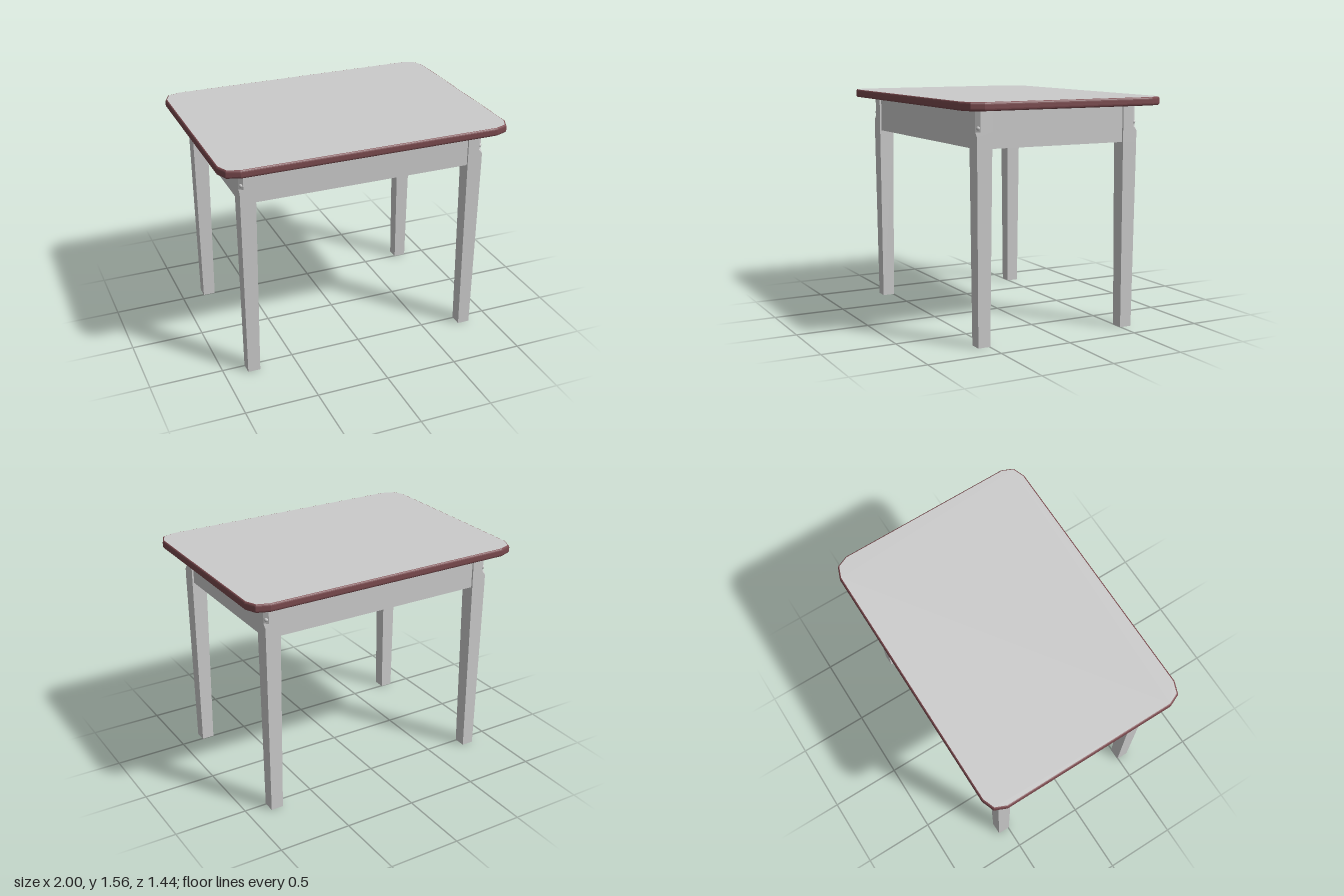
import * as THREE from 'three';

const grey = new THREE.MeshStandardMaterial({ color: 0xcccccc, flatShading: true });
const smoothGrey = new THREE.MeshStandardMaterial({ color: 0xcccccc });
const edgeRed = new THREE.MeshStandardMaterial({ color: 0x7a4a4e });

const TOP = 1.56, UNDER = 1.505, APRON_LOW = 1.26;
const LEG_X = 0.8, LEG_Z = 0.538, LEG_HALF = 0.0525, CUT = 0.025;

function addMesh(parent, name, geometry, material) {
  const mesh = new THREE.Mesh(geometry, material);
  mesh.name = name;
  parent.add(mesh);
  return mesh;
}

// Slab with clipped corners and a rounded coloured rim
function tabletopGeometry() {
  const corner = [[1, 0.61], [0.965, 0.69], [0.88, 0.722]];
  const points = [];
  for (const [sx, sy] of [[1, 1], [-1, 1], [-1, -1], [1, -1]]) {
    const run = sx * sy > 0 ? corner : [...corner].reverse();
    for (const [x, y] of run) points.push(new THREE.Vector2(x * sx, y * sy));
  }
  const round = 0.017, inset = 0.011;
  const geometry = new THREE.ExtrudeGeometry(new THREE.Shape(points), {
    depth: TOP - UNDER - 2 * round,
    bevelThickness: round, bevelSize: inset, bevelOffset: -inset, bevelSegments: 4,
  });
  geometry.rotateX(-Math.PI / 2);
  return geometry.translate(0, UNDER + round, 0);
}

// Tapered leg whose outer corner (+x, +z) is cut flat near the top
function legGeometry() {
  const sections = [ // height, half width, corner cut
    [0, 0.0425, 0], [APRON_LOW, LEG_HALF, 0], [1.335, LEG_HALF, 0],
    [1.365, LEG_HALF, CUT], [UNDER, LEG_HALF, CUT],
  ];
  const positions = [], index = [], n = 5;
  for (const [y, h, c] of sections) {
    for (const [x, z] of [[h, -h], [h, h - c], [h - c, h], [-h, h], [-h, -h]]) positions.push(x, y, z);
  }
  for (let s = 0; s < sections.length - 1; s++) {
    for (let i = 0; i < n; i++) {
      const a = s * n + i, b = s * n + (i + 1) % n;
      index.push(a, a + n, b, b, a + n, b + n);
    }
  }
  const last = (sections.length - 1) * n;
  for (let i = 1; i < n - 1; i++) {
    index.push(0, i, i + 1, last, last + i + 1, last + i);
  }
  const geometry = new THREE.BufferGeometry();
  geometry.setAttribute('position', new THREE.Float32BufferAttribute(positions, 3));
  geometry.setIndex(index);
  geometry.computeVertexNormals();
  return geometry;
}

export function createModel() {
  const table = new THREE.Group();
  table.name = 'table';

  addMesh(table, 'tabletop', tabletopGeometry(), [smoothGrey, edgeRed]);

  // Legs, each turned so its cut corner and bolt face outwards
  const legShape = legGeometry();
  const boltShape = new THREE.SphereGeometry(0.013, 12, 8);
  const boltAt = LEG_HALF - CUT / 2;
  [[1, 1], [1, -1], [-1, -1], [-1, 1]].forEach(([sx, sz], i) => {
    const corner = new THREE.Group();
    corner.name = 'legWithBolt';
    corner.position.set(sx * LEG_X, 0, sz * LEG_Z);
    corner.rotation.y = i * Math.PI / 2;
    addMesh(corner, 'leg', legShape, grey);
    const bolt = addMesh(corner, 'bolt', boltShape, smoothGrey);
    bolt.position.set(boltAt, 1.39, boltAt);
    bolt.rotation.y = Math.PI / 4;
    bolt.scale.z = 0.7;
    table.add(corner);
  });

  // Apron boards between the legs, set slightly back from their outer faces
  const thick = 0.05, setBack = 0.012, height = UNDER - APRON_LOW;
  const y = (UNDER + APRON_LOW) / 2;
  const offset = LEG_HALF - setBack - thick / 2;
  const longBoard = new THREE.BoxGeometry(2 * (LEG_X - LEG_HALF) + 0.01, height, thick);
  const shortBoard = new THREE.BoxGeometry(thick, height, 2 * (LEG_Z - LEG_HALF) + 0.01);
  for (const s of [1, -1]) {
    addMesh(table, 'longApron', longBoard, grey).position.set(0, y, s * (LEG_Z + offset));
    addMesh(table, 'shortApron', shortBoard, grey).position.set(s * (LEG_X + offset), y, 0);
  }
  return table;
}
